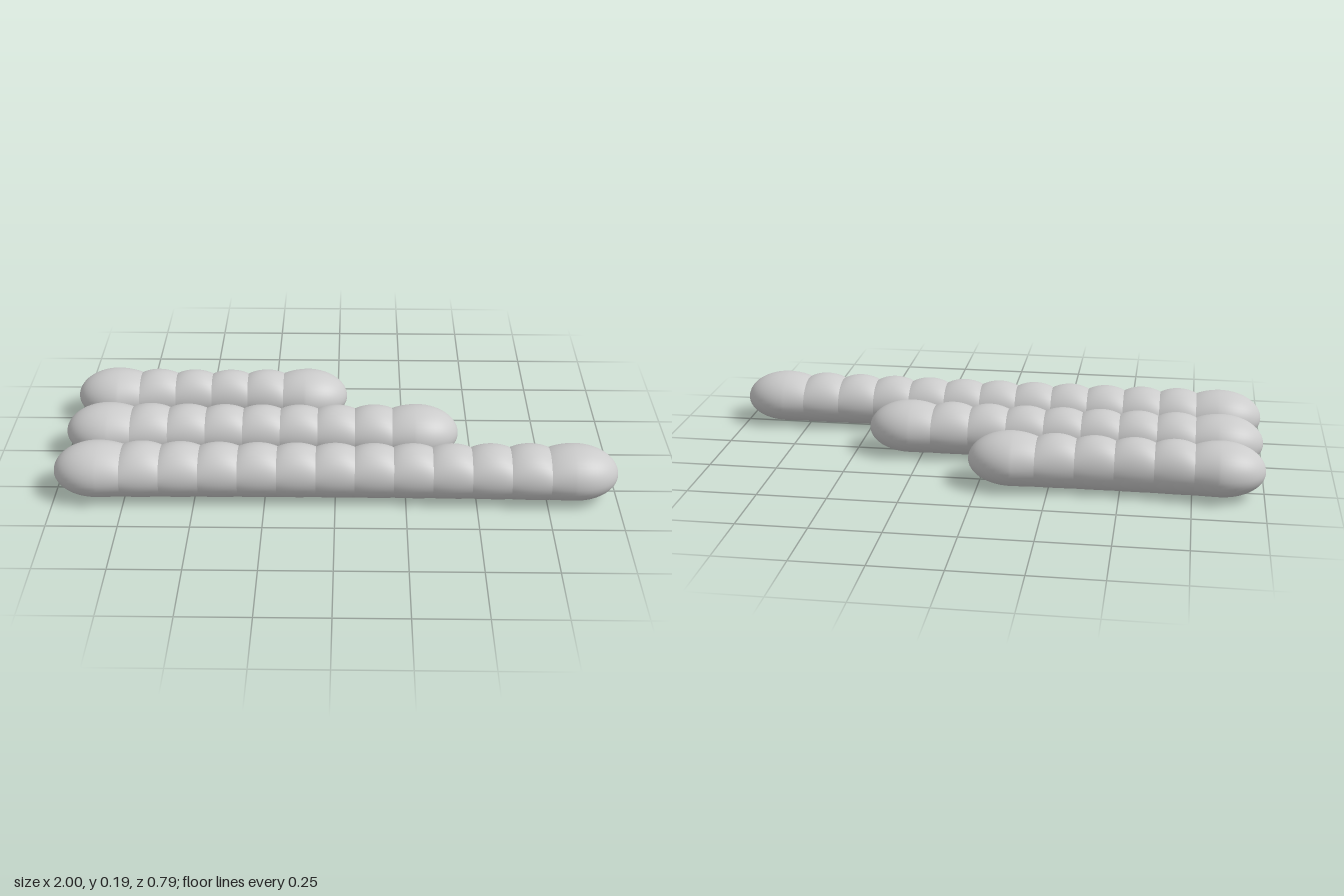
import * as THREE from 'three';

const PITCH = 0.1375;   // distance between creases
const CAP = 0.155;      // length of a rounded end
const SIDES = 40, STEPS = 14;
const AXIS_Y = 0.092, TOP = 0.101;
const material = new THREE.MeshStandardMaterial({ color: 0xcccccc, roughness: 0.8 });

// Lofts one segment from rings { x, width, top, bottom }: an ellipse that is taller above its axis than below
function loft(rings) {
  const positions = [], index = [];
  rings.forEach(({ x, width, top, bottom }, i) => {
    for (let j = 0; j < SIDES; j++) {
      const a = (j / SIDES) * Math.PI * 2, s = Math.sin(a);
      positions.push(x, AXIS_Y + s * (s > 0 ? top : bottom), width * Math.cos(a));
      if (i === rings.length - 1) continue;
      const k = (j + 1) % SIDES, p = i * SIDES, q = p + SIDES;
      index.push(p + j, q + j, q + k, p + j, q + k, p + k);
    }
  });
  const geometry = new THREE.BufferGeometry();
  geometry.setAttribute('position', new THREE.Float32BufferAttribute(positions, 3));
  geometry.setIndex(index);
  geometry.computeVertexNormals();
  return geometry;
}

// A row of bulging segments, slimmer toward its middle, with a flat underside
function segmentedRow(count, waist) {
  const row = new THREE.Group();
  const length = (count - 1) * PITCH + 0.35;
  const half = length / 2 - CAP;
  const firstCrease = -((count - 2) * PITCH) / 2;

  for (let i = 0; i < count; i++) {
    const first = i === 0, last = i === count - 1;
    const x0 = first ? -length / 2 : firstCrease + (i - 1) * PITCH;
    const x1 = last ? length / 2 : firstCrease + i * PITCH;
    const centre = first ? -half : last ? half : (x0 + x1) / 2;
    const rings = [];
    for (let n = -STEPS; n <= STEPS; n++) {
      const s = Math.sin((n / STEPS) * Math.PI / 2); // -1 to 1, denser at both edges
      const x = centre + s * (s < 0 ? centre - x0 : x1 - centre);
      const round = Math.sqrt(Math.max(0, 1 - s * s));
      const isCap = (first && s < 0) || (last && s > 0);
      const t = Math.min(1, Math.abs(x) / half);
      const width = waist + (0.119 - waist) * t * t;
      const bottom = 0.089 + 0.003 * (1 - t * t);
      rings.push({
        x,
        width: width * (isCap ? round : Math.sqrt(1 - 0.08 * s * s)),
        top: TOP * (isCap ? round : Math.sqrt(1 - 0.32 * s * s)),
        bottom: bottom * (isCap ? round : 1),
      });
    }
    const mesh = new THREE.Mesh(loft(rings), material);
    mesh.name = first || last ? 'endSegment' : 'segment';
    row.add(mesh);
  }
  row.position.x = -1 + length / 2; // rows line up at one end
  return row;
}

export function createModel() {
  const model = new THREE.Group();
  model.name = 'segmentedRows';
  const rows = [
    ['longRow', 13, 0.099, 0.275],
    ['middleRow', 9, 0.096, 0],
    ['shortRow', 6, 0.09, -0.275],
  ];
  for (const [name, count, waist, z] of rows) {
    const row = segmentedRow(count, waist);
    row.name = name;
    row.position.z = z;
    model.add(row);
  }
  return model;
}
